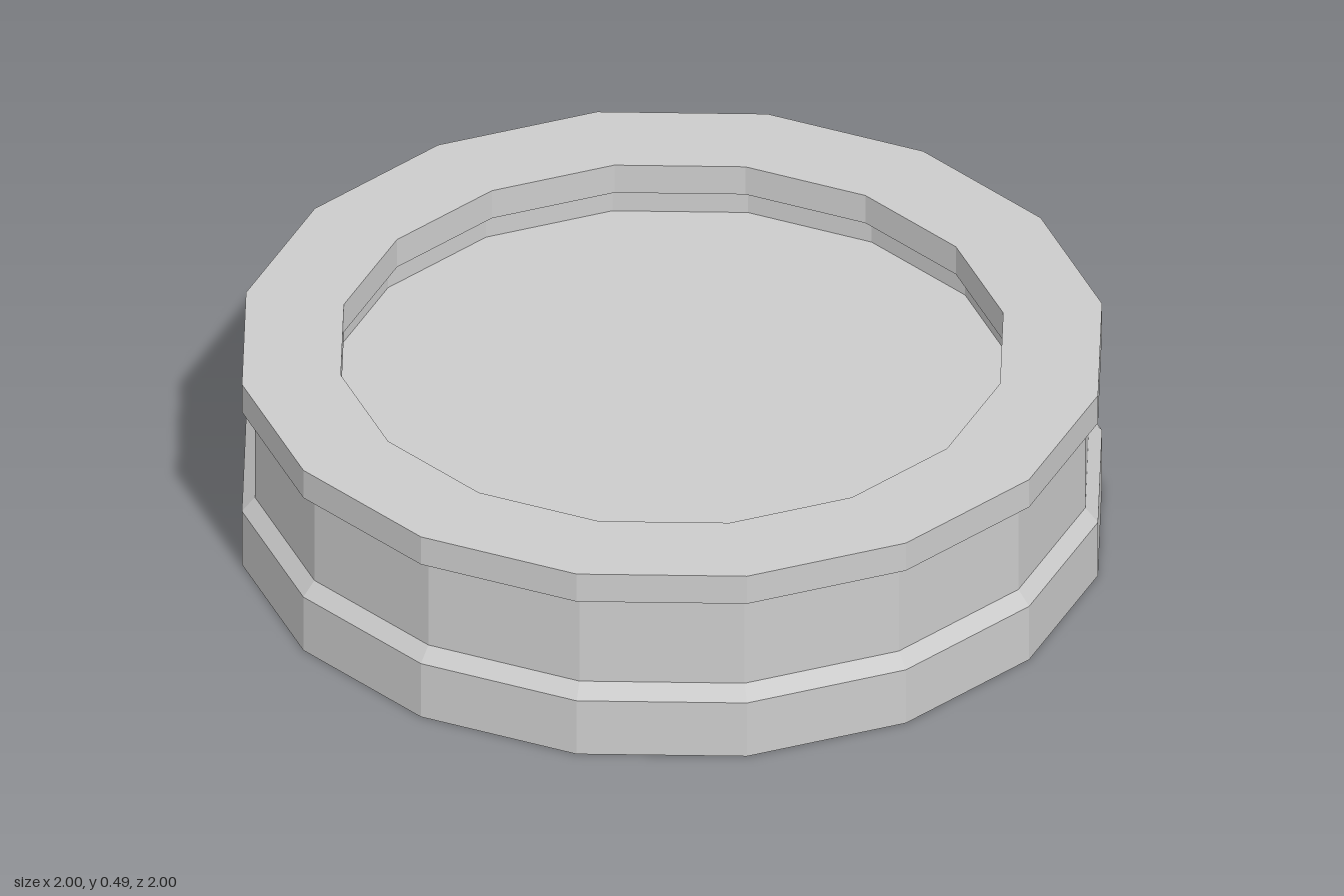
import * as THREE from 'three';

const SIDES = 16;

export function createModel() {
  const model = new THREE.Group();
  model.name = 'groovedDish';

  const grey = new THREE.MeshStandardMaterial({ color: 0xcccccc, flatShading: true });
  grey.name = 'light grey';

  // Turns an [radius, height] profile, outer side listed upwards, into a faceted part
  const turn = (name, profile) => {
    const points = profile.map(([r, y]) => new THREE.Vector2(r, y));
    const mesh = new THREE.Mesh(new THREE.LatheGeometry(points, SIDES), grey);
    mesh.name = name;
    model.add(mesh);
  };

  // Wide foot with a bevel running up to the neck
  turn('baseRing', [[0.97, 0], [1, 0], [1, 0.145], [0.97, 0.18]]);

  // Recessed wall between foot and rim, open at the top where the rim sits
  turn('neckOuterWall', [[0.97, 0.18], [0.97, 0.415]]);
  turn('neckInnerWall', [[0.795, 0.415], [0.795, 0.35]]);
  turn('neckUnderside', [[0.795, 0.015], [0.795, 0], [0.97, 0]]);

  // Flat overhanging rim
  turn('rim', [[0.77, 0.415], [1, 0.415], [1, 0.49], [0.77, 0.49], [0.77, 0.415]]);

  // Sunken floor, set slightly in from the bottom
  turn('floorDisc', [[0, 0.015], [0.795, 0.015], [0.795, 0.35], [0, 0.35]]);

  return model;
}
